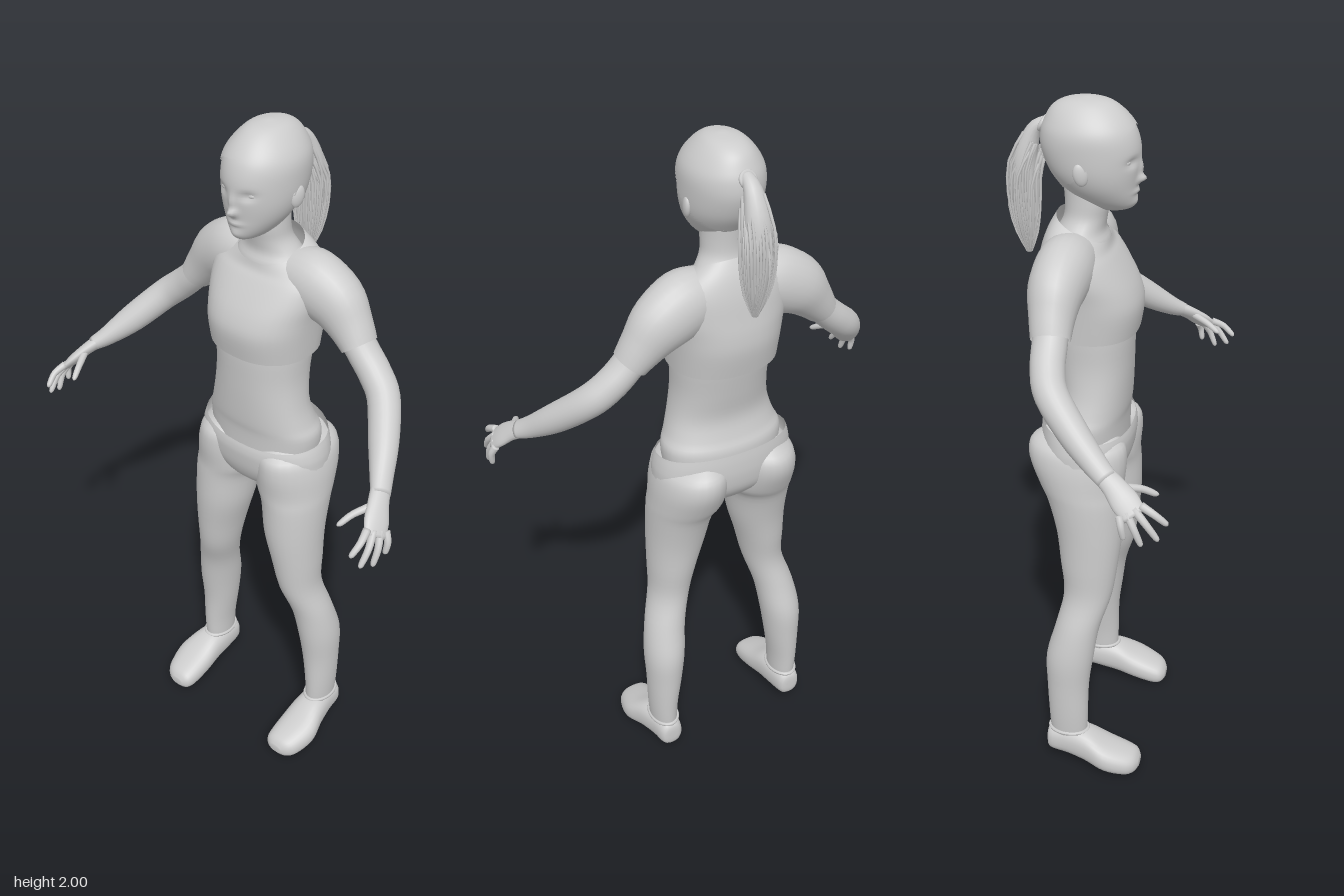
import * as THREE from 'three';

const grey = new THREE.MeshStandardMaterial({ color: 0xcccccc, side: THREE.DoubleSide });
grey.name = 'plain grey';

const UP = [0, 1, 0], FRONT = [0, 0, 1];

// Smooth interpolation through rows of numbers
function smoothRows(rows, sub) {
  const out = [], n = rows.length - 1;
  for (let i = 0; i < n; i++) {
    const p0 = rows[Math.max(i - 1, 0)], p1 = rows[i], p2 = rows[i + 1], p3 = rows[Math.min(i + 2, n)];
    for (let s = 0; s < sub; s++) {
      const t = s / sub;
      out.push(p1.map((v, k) => v + 0.5 * t * (p2[k] - p0[k]
        + t * (2 * p0[k] - 5 * v + 4 * p2[k] - p3[k] + t * (3 * (v - p2[k]) + p3[k] - p0[k])))));
    }
  }
  out.push(rows[n]);
  return out;
}

// Skin over rings [x, y, z, a, b, slope]; rings follow the path unless an axis is fixed
function loft(rows, { seg = 24, sub = 4, axis = null, ref = FRONT, power = 2, caps = true, deform = null } = {}) {
  const rings = smoothRows(rows.map(r => [...r, 0].slice(0, 6)), sub);
  const pos = [], idx = [], m = rings.length;
  const at = i => new THREE.Vector3(...rings[Math.min(Math.max(i, 0), m - 1)].slice(0, 3));
  const R = new THREE.Vector3(...ref), round = v => Math.sign(v) * Math.abs(v) ** (2 / power);
  rings.forEach(([, , , a, b, slope], i) => {
    const T = axis ? new THREE.Vector3(...axis) : at(i + 1).sub(at(i - 1)).normalize();
    const u = T.clone().cross(R).normalize(), v = u.clone().cross(T);
    for (let j = 0; j < seg; j++) {
      const w = j / seg * Math.PI * 2, dv = Math.max(b, 0.001) * round(Math.sin(w));
      const p = at(i).addScaledVector(u, Math.max(a, 0.001) * round(Math.cos(w))).addScaledVector(v, dv);
      p.y += (slope || 0) * dv;
      if (deform) deform(p);
      pos.push(p.x, p.y, p.z);
      if (i < m - 1) {
        const k = (j + 1) % seg, A = i * seg + j, B = i * seg + k, C = B + seg, D = A + seg;
        idx.push(A, D, B, B, D, C);
      }
    }
  });
  if (caps) {
    const s = m * seg, e = s + 1, last = (m - 1) * seg;
    pos.push(...at(0).toArray(), ...at(m - 1).toArray());
    for (let j = 0; j < seg; j++) {
      const k = (j + 1) % seg;
      idx.push(s, j, k, e, last + k, last + j);
    }
  }
  const g = new THREE.BufferGeometry();
  g.setAttribute('position', new THREE.Float32BufferAttribute(pos, 3));
  g.setIndex(idx);
  g.computeVertexNormals();
  return g;
}

// Rows [y, halfWidth, front, back, slope] for upright body parts
const upright = rows => rows.map(([y, a, f, b, s = 0]) => [0, y, (f + b) / 2, a, (f - b) / 2, s]);

function mirror(geo) {
  const g = geo.clone().scale(-1, 1, 1), ix = g.index.array;
  for (let i = 0; i < ix.length; i += 3) [ix[i], ix[i + 1]] = [ix[i + 1], ix[i]];
  g.computeVertexNormals();
  return g;
}

// Facial relief: [x, y, spreadX, spreadY, depth]
const relief = [
  [0, 1.797, 0.012, 0.011, 0.02], [0, 1.825, 0.009, 0.02, 0.009], [0, 1.765, 0.022, 0.007, 0.006],
  [0, 1.735, 0.02, 0.012, 0.005], [0.04, 1.847, 0.018, 0.011, -0.009], [-0.04, 1.847, 0.018, 0.011, -0.009],
  [0, 1.757, 0.02, 0.003, -0.003],
];
function faceRelief(p) {
  if (p.z < 0) return;
  const { x, y } = p;
  for (const [cx, cy, sx, sy, d] of relief)
    p.z += d * Math.exp(-(((x - cx) / sx) ** 2) - ((y - cy) / sy) ** 2);
}

// Hair shell: the part of the head behind the hairline, pushed outward
function hairShell(head) {
  const g = head.clone(), p = g.attributes.position, n = g.attributes.normal, keep = [], ix = head.index.array;
  for (let i = 0; i < p.count; i++)
    p.setXYZ(i, p.getX(i) + n.getX(i) * 0.004, p.getY(i) + n.getY(i) * 0.004, p.getZ(i) + n.getZ(i) * 0.004);
  for (let i = 0; i < ix.length; i += 3)
    if (p.getY(ix[i]) > 1.87 + 0.9 * p.getZ(ix[i])) keep.push(ix[i], ix[i + 1], ix[i + 2]);
  g.setIndex(keep);
  return g;
}

export function createModel() {
  const model = new THREE.Group();
  model.name = 'woman';
  const add = (name, geo) => {
    const m = new THREE.Mesh(geo, grey);
    m.name = name;
    model.add(m);
  };
  const pair = (name, geo) => { add('left' + name, geo); add('right' + name, mirror(geo)); };

  // Head, hair and neck
  const head = loft(upright([
    [1.712, 0.02, 0.04, -0.05], [1.722, 0.037, 0.06, -0.07], [1.745, 0.06, 0.069, -0.1],
    [1.78, 0.083, 0.072, -0.13], [1.82, 0.096, 0.077, -0.158], [1.87, 0.1, 0.08, -0.176],
    [1.91, 0.098, 0.072, -0.176], [1.94, 0.086, 0.056, -0.166], [1.97, 0.063, 0.027, -0.147],
    [1.988, 0.04, -0.005, -0.115], [1.996, 0.008, -0.05, -0.065],
  ]), { seg: 80, sub: 7, axis: UP, deform: faceRelief });
  add('head', head);
  add('hair', hairShell(head));
  add('neck', loft(upright([
    [1.56, 0.13, -0.01, -0.16], [1.62, 0.11, 0.0, -0.155], [1.655, 0.085, -0.012, -0.14],
    [1.69, 0.062, -0.008, -0.123], [1.73, 0.057, 0.0, -0.12], [1.79, 0.055, 0.0, -0.125],
  ]), { axis: UP }));
  pair('Eye', new THREE.SphereGeometry(0.014, 16, 12).scale(1.1, 0.7, 0.8).translate(0.04, 1.847, 0.05));
  pair('Ear', new THREE.SphereGeometry(0.03, 16, 12).scale(0.35, 1, 0.65)
    .rotateX(-0.2).rotateY(-0.3).translate(0.098, 1.825, -0.055));

  // Ponytail: core, tie and loose strands
  const tail = [[0, 1.93, -0.165, 0.016, 0.014], [0, 1.905, -0.2, 0.024, 0.02], [0, 1.83, -0.226, 0.036, 0.032],
    [0, 1.74, -0.23, 0.036, 0.034], [0, 1.65, -0.226, 0.026, 0.024], [0, 1.575, -0.222, 0.006, 0.006]];
  add('ponytail', loft(tail, { seg: 16 }));
  add('hairTie', new THREE.TorusGeometry(0.019, 0.006, 8, 20).rotateX(0.5).translate(0, 1.922, -0.178));
  let seed = 7;
  const rand = () => (seed = (seed * 16807) % 2147483647) / 2147483647;
  for (let i = 0; i < 36; i++) {
    const w = i / 36 * Math.PI * 2, end = 1 + rand() * 0.35, drop = rand() * 0.09;
    add('hairStrand', loft(tail.slice(1).map(([x, y, z, a, b], k) => [
      x + Math.cos(w) * a * end, y - drop * (1 - k / 4), z + Math.sin(w) * b * end, 0.005 - 0.001 * k, 0.005 - 0.001 * k,
    ]), { seg: 5, sub: 2 }));
  }

  // Bare midriff and cropped shirt
  add('midriff', loft(upright([
    [1.04, 0.17, 0.05, -0.16], [1.12, 0.178, 0.052, -0.162], [1.16, 0.163, 0.058, -0.148], [1.22, 0.146, 0.062, -0.135],
    [1.3, 0.136, 0.065, -0.148], [1.4, 0.138, 0.066, -0.165], [1.5, 0.13, 0.05, -0.17],
  ]), { axis: UP, seg: 40, power: 2.2 }));
  add('shirt', loft(upright([
    [1.38, 0.15, 0.08, -0.182], [1.45, 0.156, 0.09, -0.195], [1.5, 0.162, 0.078, -0.195], [1.55, 0.172, 0.05, -0.188],
    [1.6, 0.17, 0.022, -0.178, -0.1], [1.635, 0.14, 0.006, -0.162, -0.3], [1.665, 0.092, 0.0, -0.14, -0.5],
  ]), { axis: UP, seg: 40, power: 2.3, caps: false }));
  pair('Sleeve', loft([
    [0.07, 1.6, -0.085, 0.07, 0.07], [0.13, 1.585, -0.09, 0.09, 0.078], [0.2, 1.55, -0.097, 0.083, 0.073],
    [0.25, 1.5, -0.095, 0.062, 0.06], [0.287, 1.455, -0.09, 0.047, 0.052],
  ], { caps: false }));

  // Arms and hands
  pair('Arm', loft([
    [0.22, 1.54, -0.095, 0.045, 0.045], [0.292, 1.452, -0.09, 0.042, 0.046], [0.345, 1.4, -0.083, 0.043, 0.045],
    [0.395, 1.355, -0.06, 0.043, 0.044], [0.455, 1.285, 0.012, 0.04, 0.04], [0.5, 1.235, 0.075, 0.028, 0.032],
    [0.527, 1.212, 0.112, 0.02, 0.027],
  ]));
  pair('Palm', loft([
    [0.515, 1.222, 0.095, 0.02, 0.027], [0.535, 1.2, 0.13, 0.017, 0.03],
    [0.556, 1.172, 0.163, 0.015, 0.036], [0.573, 1.148, 0.19, 0.009, 0.03],
  ], { ref: [-0.4, 0.3, 0.85], seg: 20 }));
  const finger = (k, t, bend) => loft([
    [...k, 0.011, 0.011], [...k.map((v, i) => (v + t[i]) / 2 + bend[i]), 0.0095, 0.0095],
    [...k.map((v, i) => v + (t[i] - v) * 0.9), 0.0075, 0.0075], [...t, 0.002, 0.002],
  ], { seg: 10, ref: [1, 0, 0] });
  const tips = [[0.56, 1.125, 0.27], [0.577, 1.087, 0.25], [0.587, 1.072, 0.21], [0.592, 1.088, 0.166]];
  tips.forEach((tip, i) => pair('Finger',
    finger([0.556 + i * 0.008, 1.169 - i * 0.007, 0.201 - i * 0.016], tip, [0.006, 0.006, 0])));
  pair('Thumb', finger([0.53, 1.198, 0.142], [0.485, 1.163, 0.232], [-0.004, 0.004, 0.004]));

  // Trousers
  add('trouserSeat', loft(upright([
    [0.925, 0.04, 0.0, -0.1], [0.955, 0.13, 0.04, -0.14], [1.0, 0.2, 0.062, -0.175], [1.05, 0.207, 0.07, -0.186],
    [1.085, 0.202, 0.069, -0.186, -0.08], [1.11, 0.194, 0.065, -0.182, -0.16],
  ]), { axis: UP, seg: 40, power: 2.2, caps: false }));
  pair('TrouserLeg', loft([
    [0.1, 1.1, -0.075, 0.045, 0.09], [0.106, 1.07, -0.07, 0.088, 0.132], [0.11, 1.02, -0.067, 0.102, 0.138],
    [0.114, 0.95, -0.056, 0.105, 0.121], [0.127, 0.9, -0.043, 0.094, 0.108], [0.135, 0.8, -0.03, 0.085, 0.095],
    [0.149, 0.7, -0.028, 0.071, 0.083], [0.162, 0.6, -0.03, 0.06, 0.07], [0.19, 0.5, -0.055, 0.06, 0.065],
    [0.205, 0.4, -0.075, 0.06, 0.07], [0.211, 0.3, -0.081, 0.052, 0.063], [0.217, 0.2, -0.08, 0.043, 0.059],
    [0.217, 0.13, -0.079, 0.038, 0.056], [0.217, 0.1, -0.079, 0.034, 0.05],
  ], { axis: [0, -1, 0], seg: 28 }));

  // Shoes
  pair('Shoe', loft([
    [0.217, 0.088, -0.145, 0.012, 0.015], [0.217, 0.088, -0.135, 0.034, 0.042], [0.217, 0.088, -0.08, 0.044, 0.05],
    [0.222, 0.08, -0.02, 0.053, 0.053], [0.228, 0.058, 0.04, 0.063, 0.046], [0.223, 0.04, 0.1, 0.056, 0.039],
    [0.218, 0.035, 0.128, 0.043, 0.029], [0.216, 0.033, 0.141, 0.02, 0.012],
  ], { axis: FRONT, ref: UP, power: 2.4, seg: 28 }));
  pair('ShoeCollar', new THREE.TorusGeometry(1, 0.1, 8, 28).rotateX(Math.PI / 2)
    .scale(0.041, 0.06, 0.058).translate(0.217, 0.132, -0.079));

  return model;
}
